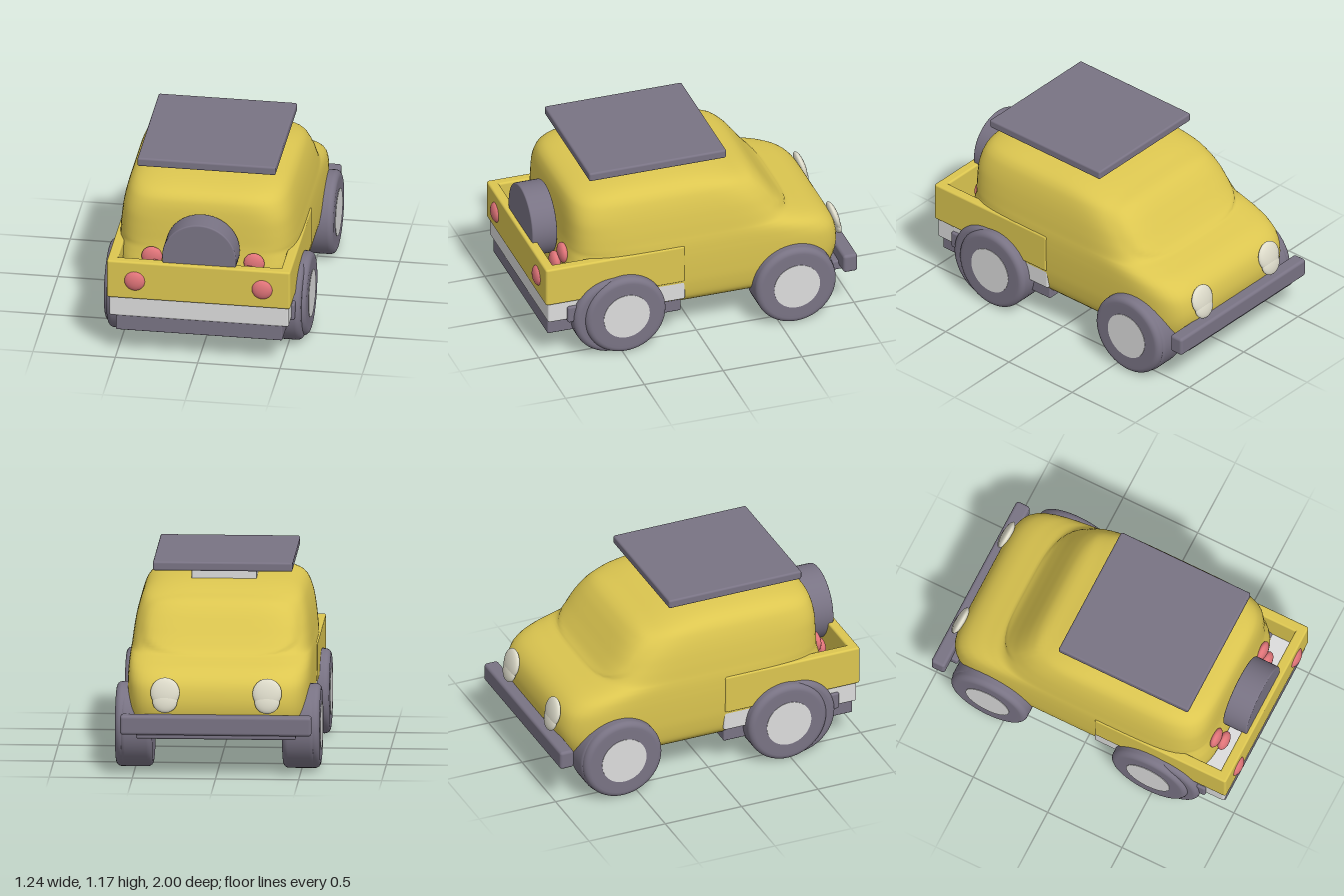
import * as THREE from 'three';
import { RoundedBoxGeometry } from 'three/addons/geometries/RoundedBoxGeometry.js';

const mat = (name, color) => {
  const m = new THREE.MeshStandardMaterial({ color });
  m.name = name;
  return m;
};

// Body: rounded-rectangle slices stacked along y
function bodyGeometry() {
  // y, half width, front z, back z, squareness
  const keys = [
    [0.225, 0.49, -0.84, 0.74, 7], [0.27, 0.525, -0.89, 0.77, 7], [0.36, 0.543, -0.925, 0.79, 7],
    [0.45, 0.549, -0.935, 0.80, 7], [0.54, 0.551, -0.915, 0.79, 7], [0.60, 0.550, -0.87, 0.78, 6.5],
    [0.64, 0.548, -0.80, 0.775, 6], [0.67, 0.545, -0.70, 0.772, 6], [0.70, 0.541, -0.615, 0.77, 6],
    [0.77, 0.533, -0.55, 0.768, 6], [0.85, 0.520, -0.49, 0.764, 6], [0.92, 0.502, -0.435, 0.755, 5.5],
    [0.97, 0.480, -0.375, 0.735, 5], [1.005, 0.445, -0.27, 0.69, 4.5], [1.03, 0.385, -0.16, 0.60, 4],
    [1.045, 0.29, -0.05, 0.47, 3.5], [1.054, 0.15, 0.08, 0.31, 3], [1.057, 0, 0.18, 0.18, 2.5],
  ];
  const spline = f => new THREE.CatmullRomCurve3(keys.map(f), false, 'catmullrom', 0.5);
  const front = spline(k => new THREE.Vector3(k[1], k[0], k[2]));
  const back = spline(k => new THREE.Vector3(k[4], 0, k[3]));
  const rows = [[0.225, 0, -0.05, -0.05, 7], [0.225, 0.48, -0.83, 0.73, 7]];
  const steps = 85, cols = 144;
  for (let j = 0; j <= steps; j++) {
    const f = front.getPoint(j / steps), b = back.getPoint(j / steps);
    rows.push([f.y, Math.max(f.x, 0), f.z, b.z, b.x]);
  }
  const pos = [], idx = [];
  rows.forEach(([y, w, zf, zb, n], j) => {
    for (let i = 0; i < cols; i++) {
      const t = (i / cols) * Math.PI * 2, c = Math.cos(t), s = Math.sin(t);
      const r = Math.pow(Math.abs(c) ** n + Math.abs(s) ** n, -1 / n);
      const x = w * c * r;
      let z = (zf + zb) / 2 + ((zb - zf) / 2) * s * r;
      // Slightly proud windscreen panel with rounded outline
      if (s < 0) {
        const d = (Math.abs(x) / 0.47) ** 4 + (Math.abs(y - 0.84) / 0.155) ** 4;
        z -= 0.018 * (1 - THREE.MathUtils.smoothstep(d, 0.75, 1.1));
      }
      pos.push(x, y, z);
      if (j < rows.length - 1) {
        const a = j * cols + i, e = j * cols + ((i + 1) % cols);
        idx.push(a, a + cols, e, e, a + cols, e + cols);
      }
    }
  });
  const g = new THREE.BufferGeometry();
  g.setAttribute('position', new THREE.Float32BufferAttribute(pos, 3));
  g.setIndex(idx);
  g.computeVertexNormals();
  return g;
}

// Solid round disc with softened rim, axis along y
function tyreGeometry(r, width, bevel) {
  const h = width / 2, p = [new THREE.Vector2(0, -h), new THREE.Vector2(r - bevel * 1.6, -h)];
  for (let i = 0; i <= 6; i++) {
    const a = -Math.PI / 2 + (i / 6) * Math.PI / 2;
    p.push(new THREE.Vector2(r - bevel + bevel * Math.cos(a), -h + bevel + bevel * Math.sin(a)));
  }
  for (let i = 0; i <= 6; i++) {
    const a = (i / 6) * Math.PI / 2;
    p.push(new THREE.Vector2(r - bevel + bevel * Math.cos(a), h - bevel + bevel * Math.sin(a)));
  }
  p.push(new THREE.Vector2(r - bevel * 1.6, h), new THREE.Vector2(0, h));
  return new THREE.LatheGeometry(p, 56);
}

export function createModel() {
  const model = new THREE.Group();
  const yellow = mat('yellow paint', 0xdcc650);
  const grey = mat('dark grey', 0x797384);
  const white = mat('light grey', 0xdcdcdc);
  const red = mat('lamp red', 0xe07479);
  const cream = mat('lamp cream', 0xdedccb);

  const add = (name, geo, material, x = 0, y = 0, z = 0) => {
    const m = new THREE.Mesh(geo, material);
    m.name = name;
    m.position.set(x, y, z);
    model.add(m);
    return m;
  };
  // Rounded box given by its min and max corners
  const box = (name, material, x0, x1, y0, y1, z0, z1, r = 0.012) =>
    add(name, new RoundedBoxGeometry(x1 - x0, y1 - y0, z1 - z0, 3, r), material,
      (x0 + x1) / 2, (y0 + y1) / 2, (z0 + z1) / 2);
  const ellipsoid = (name, material, x, y, z, rx, ry, rz, tilt = 0) => {
    const m = add(name, new THREE.SphereGeometry(1, 32, 20), material, x, y, z);
    m.scale.set(rx, ry, rz);
    m.rotation.x = tilt;
  };

  add('body', bodyGeometry(), yellow);

  // Roof rack
  box('roofBlock', white, -0.195, 0.195, 1.0, 1.13, -0.05, 0.13, 0.006);
  box('roofBoard', grey, -0.42, 0.42, 1.12, 1.175, -0.22, 0.65, 0.012);

  // Cargo bed
  box('bedTailgate', yellow, -0.555, 0.555, 0.39, 0.637, 0.91, 0.972);
  box('bedLowerBand', white, -0.545, 0.545, 0.262, 0.395, 0.085, 0.955);
  box('bedUnderside', grey, -0.505, 0.505, 0.163, 0.27, 0.1, 0.945, 0.008);

  // Spare wheel
  add('spareWheel', tyreGeometry(0.225, 0.158, 0.008), grey, 0, 0.675, 0.866).rotation.x = Math.PI / 2;

  // Front bumper
  box('frontBumper', grey, -0.575, 0.575, 0.265, 0.382, -1, -0.91, 0.018);
  box('bumperLowerBar', grey, -0.48, 0.48, 0.238, 0.3, -0.975, -0.87, 0.012);

  const tyre = tyreGeometry(0.255, 0.22, 0.035);
  const innerTyre = tyreGeometry(0.25, 0.2, 0.035);
  const hub = new THREE.CylinderGeometry(0.145, 0.145, 0.008, 48);
  for (const s of [-1, 1]) {
    const [a, b] = s > 0 ? [0.495, 0.557] : [-0.557, -0.495];
    box('bedSide', yellow, a, b, 0.39, 0.637, 0.09, 0.97);
    const [c, d] = s > 0 ? [0.48, 0.562] : [-0.562, -0.48];
    box('bedBracket', grey, c, d, 0.247, 0.355, 0.73, 0.835);

    // Wheels, each with a second tyre set just inside
    for (const [z, z2] of [[0.48, 0.55], [-0.6, -0.612]]) {
      add('tyre', tyre, grey, s * 0.505, 0.258, z).rotation.z = Math.PI / 2;
      add('innerTyre', innerTyre, grey, s * 0.49, 0.255, z2).rotation.z = Math.PI / 2;
      add('hubcap', hub, white, s * 0.614, 0.258, z).rotation.z = Math.PI / 2;
    }

    // Lamps
    ellipsoid('headlight', cream, s * 0.307, 0.515, -0.934, 0.088, 0.09, 0.028, 0.26);
    ellipsoid('headlightLower', cream, s * 0.307, 0.465, -0.948, 0.075, 0.07, 0.026, 0.26);
    ellipsoid('tailLight', red, s * 0.387, 0.512, 0.968, 0.063, 0.063, 0.031);
    ellipsoid('cabLight', red, s * 0.31, 0.592, 0.785, 0.063, 0.063, 0.03);
    ellipsoid('cabLightLower', red, s * 0.285, 0.53, 0.825, 0.06, 0.06, 0.033);
  }
  return model;
}
